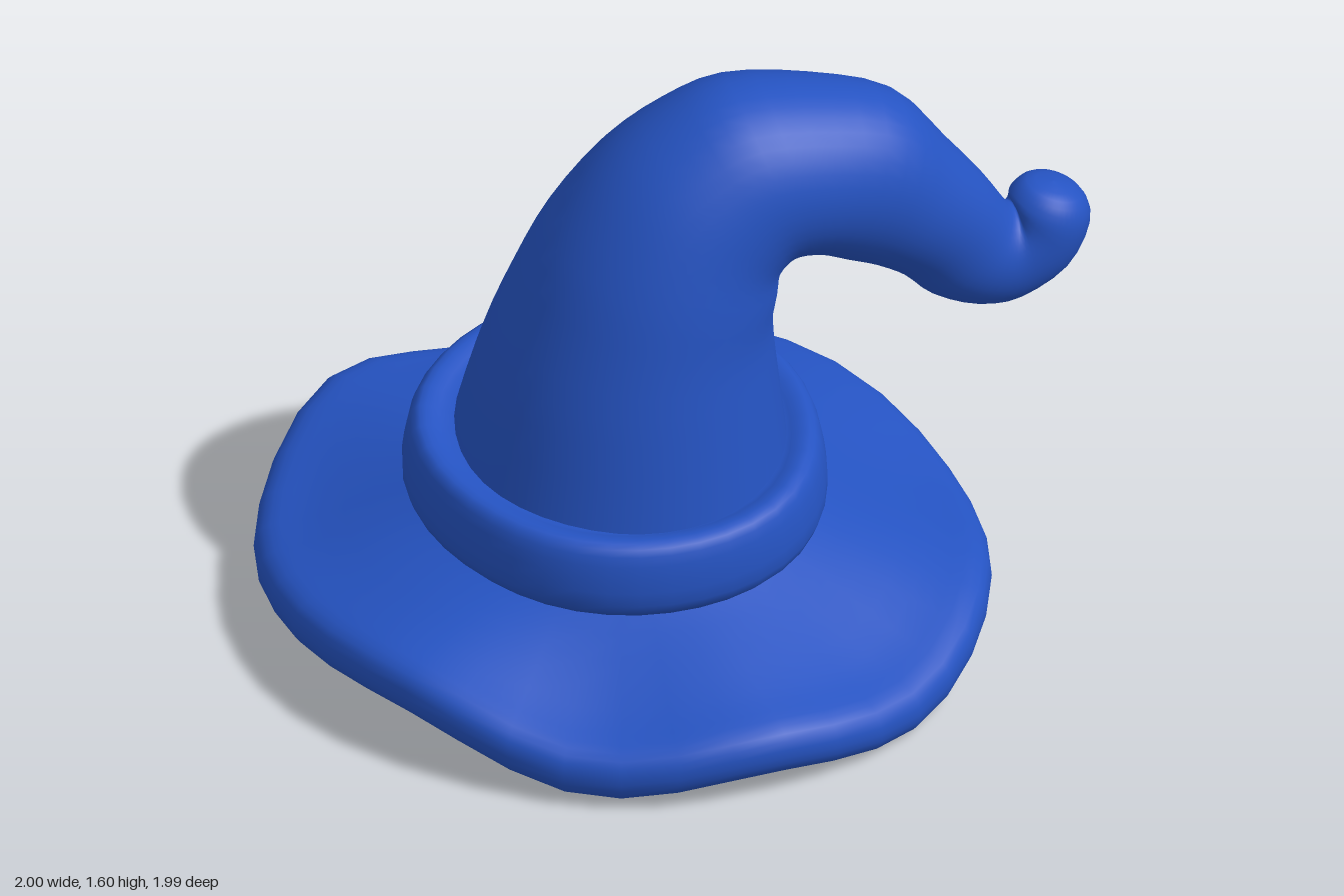
import * as THREE from 'three';

const SEG = 40;
const blue = new THREE.MeshStandardMaterial({ color: 0x2553c2 });
blue.name = 'hat blue';

// Skin a list of closed rings (each counter-clockwise about the direction of travel)
function loft(name, rows, pointAt) {
  const pos = [], idx = [];
  rows.forEach((row) => {
    for (let j = 0; j < SEG; j++) pos.push(...pointAt(row, (j / SEG) * Math.PI * 2));
  });
  for (let i = 0; i < rows.length - 1; i++) {
    for (let j = 0; j < SEG; j++) {
      const k = (j + 1) % SEG;
      const a = i * SEG + j, b = i * SEG + k, c = a + SEG, d = b + SEG;
      idx.push(a, b, d, a, d, c);
    }
  }
  const geo = new THREE.BufferGeometry();
  geo.setAttribute('position', new THREE.Float32BufferAttribute(pos, 3));
  geo.setIndex(idx);
  geo.computeVertexNormals();
  const mesh = new THREE.Mesh(geo, blue);
  mesh.name = name;
  return mesh;
}

// Smooth interpolation through a list of equal-length number rows
function smoothRows(rows, steps) {
  const out = [];
  const at = (i) => rows[Math.min(Math.max(i, 0), rows.length - 1)];
  for (let i = 0; i < rows.length - 1; i++) {
    for (let s = 0; s < steps; s++) out.push(at(i).map((p1, k) => spline(at(i - 1)[k], p1, at(i + 1)[k], at(i + 2)[k], s / steps)));
  }
  out.push(rows[rows.length - 1]);
  return out;
}

function spline(p0, p1, p2, p3, t) {
  return p1 + 0.5 * t * (p2 - p0 + t * (2 * p0 - 5 * p1 + 4 * p2 - p3 + t * (3 * (p1 - p2) + p3 - p0)));
}

// Height of the wavy rim, every 30 degrees from +x towards +z
const WAVE = [0.08, 0.14, 0.09, 0.205, 0.155, 0.09, 0.19, 0.09, 0.16, 0.17, 0.1, 0.13];
function rimHeight(angle) {
  const n = WAVE.length;
  const f = ((angle / (Math.PI * 2)) * n + 2 * n) % n;
  const i = Math.floor(f);
  const w = (k) => WAVE[(i + k + n) % n];
  return spline(w(-1), w(0), w(1), w(2), f - i);
}

// Brim rows: radius, height, share of the rim wave; underside first, then over the rim
function makeBrim() {
  const rows = smoothRows([
    [0, 0.28, 0], [0.3, 0.25, 0.35], [0.6, 0.16, 0.75], [0.8, 0.09, 0.95],
    [0.9, 0.062, 1], [0.96, 0.068, 1], [0.99, 0.095, 1], [1.0, 0.135, 1], [0.99, 0.18, 1],
    [0.955, 0.208, 1], [0.9, 0.223, 0.97], [0.82, 0.243, 0.85], [0.68, 0.285, 0.5],
    [0.52, 0.335, 0.12], [0.38, 0.39, 0],
  ], 2);
  return loft('brim', rows, ([r, y, w], t) => [
    r * Math.cos(t), y + w * (rimHeight(-t) - 0.138), 0.075 - 0.915 * r * Math.sin(t),
  ]);
}

// Band: rolled cuff closing against the crown, tilted slightly and a little uneven
function makeBand() {
  const rows = smoothRows([
    [0.4, 0.39], [0.47, 0.35], [0.53, 0.365], [0.56, 0.415], [0.555, 0.5],
    [0.54, 0.562], [0.515, 0.588], [0.48, 0.585], [0.45, 0.572], [0.41, 0.568],
  ], 2);
  return loft('band', rows, ([r, y], t) => {
    const rr = r + 0.006 * Math.sin(5 * t + 1);
    return [rr * Math.cos(t), y - 0.03 * Math.cos(t) + 0.005 * Math.sin(4 * t), 0.1 - 0.99 * rr * Math.sin(t)];
  });
}

// Crown sections in the bending plane: outer s, outer y, inner s, inner y, half width
function makeCrown() {
  const rows = smoothRows([
    [-0.46, 0.5, 0.44, 0.5, 0.46], [-0.38, 0.8, 0.41, 0.78, 0.405],
    [-0.29, 1.03, 0.4, 0.92, 0.365], [-0.19, 1.23, 0.415, 1.01, 0.335],
    [-0.04, 1.42, 0.42, 1.055, 0.3], [0.13, 1.54, 0.435, 1.075, 0.275],
    [0.31, 1.6, 0.46, 1.08, 0.255], [0.56, 1.555, 0.51, 1.065, 0.235],
    [0.77, 1.47, 0.59, 1.02, 0.21], [0.9, 1.3, 0.67, 0.98, 0.18],
    [1.0, 1.16, 0.76, 0.915, 0.15], [1.06, 1.06, 0.84, 0.83, 0.13],
    [1.08, 1.04, 0.96, 0.768, 0.12], [1.085, 1.045, 1.08, 0.762, 0.115],
    [1.075, 1.06, 1.22, 0.84, 0.115], [1.08, 1.08, 1.285, 0.97, 0.11],
    [1.12, 1.108, 1.265, 1.055, 0.075], [1.19, 1.1, 1.19, 1.1, 0],
  ], 3);
  const dx = 0.555, dz = -0.832;
  return loft('bentCrown', rows, ([os, oy, is, iy, half], t) => {
    const c = Math.cos(t), w = half * Math.sin(t);
    const s = (os + is) / 2 + (c * (os - is)) / 2;
    return [0.005 + s * dx - w * dz, (oy + iy) / 2 + (c * (oy - iy)) / 2, 0.09 + s * dz + w * dx];
  });
}

export function createModel() {
  const hat = new THREE.Group();
  hat.name = 'pointedHat';
  hat.add(makeBrim(), makeBand(), makeCrown());
  return hat;
}
